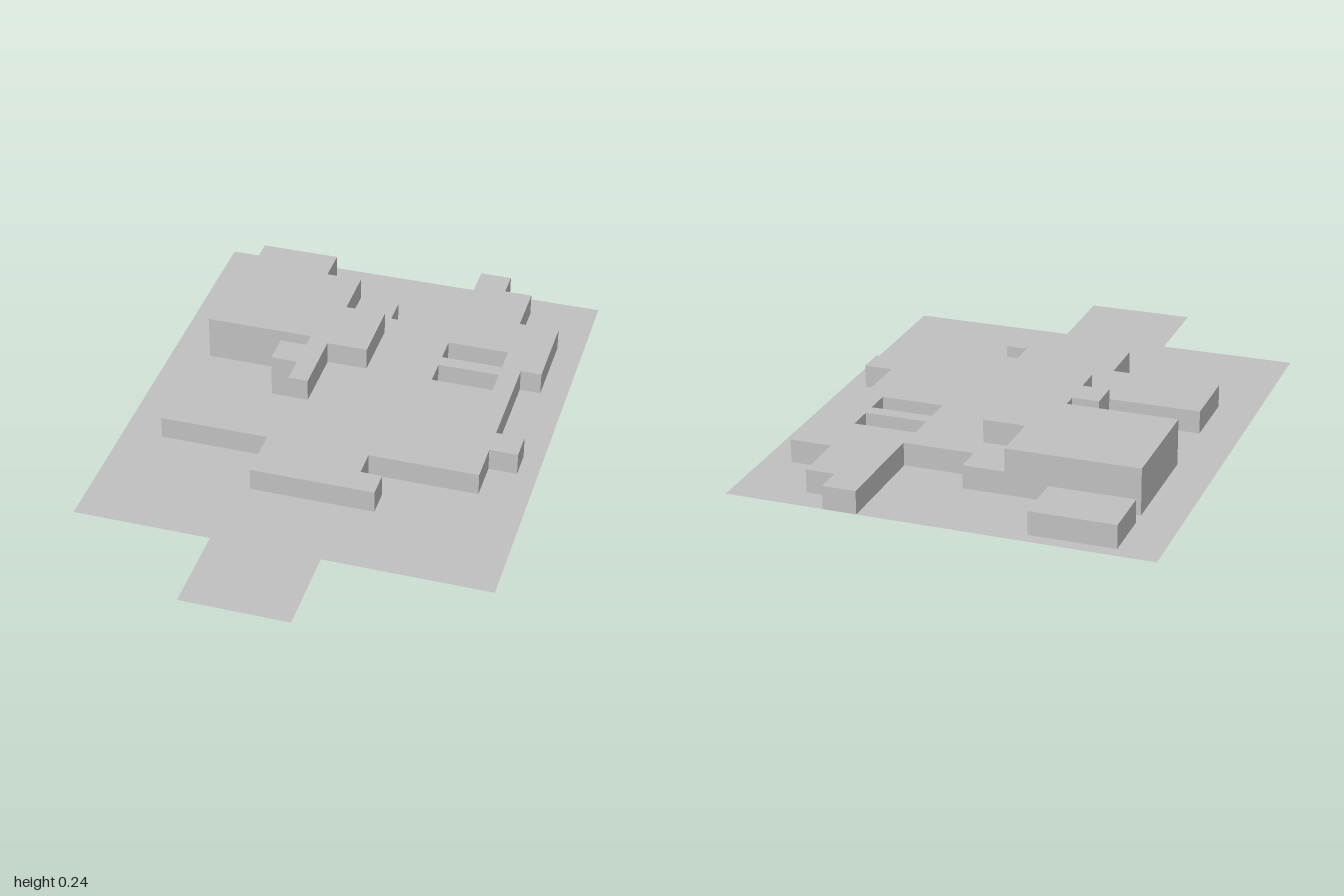
import * as THREE from 'three';

const GROUND = 0.076, LOW = 0.157, HIGH = 0.238;

// Plan outlines are flat lists of x, z pairs
const toPoints = (plan) => {
  const points = [];
  for (let i = 0; i < plan.length; i += 2) points.push(new THREE.Vector2(plan[i], -plan[i + 1]));
  return points;
};
const rectangle = (x0, x1, z0, z1) => [x0, z0, x1, z0, x1, z1, x0, z1];

export function createModel() {
  const group = new THREE.Group();
  const grey = new THREE.MeshStandardMaterial({ color: 0xc0c0c0, side: THREE.DoubleSide });
  grey.name = 'plain grey';

  const add = (name, geometry, y) => {
    geometry.rotateX(-Math.PI / 2);
    geometry.translate(0, y, 0);
    const mesh = new THREE.Mesh(geometry, grey);
    mesh.name = name;
    group.add(mesh);
  };
  const block = (name, plan, bottom, top, holes = []) => {
    const shape = new THREE.Shape(toPoints(plan));
    for (const hole of holes) shape.holes.push(new THREE.Path(toPoints(hole)));
    add(name, new THREE.ExtrudeGeometry(shape, { depth: top - bottom, bevelEnabled: false }), bottom);
  };

  // Flat site sheet with its front access strip
  const site = [-0.72, -1, 0.72, -1, 0.72, 0.68, 0.14, 0.68, 0.14, 1, -0.24, 1, -0.24, 0.68, -0.72, 0.68];
  add('siteSheet', new THREE.ShapeGeometry(new THREE.Shape(toPoints(site))), GROUND);

  // Storey below the sheet
  block('basement', [
    0.02, -0.42, 0.48, -0.42, 0.48, -0.71, 0.625, -0.71,
    0.625, -0.42, 0.55, -0.42, 0.55, 0.205, 0.02, 0.205,
  ], 0, GROUND);

  // Main storey with two open light wells
  block('mainStorey', [
    0.265, -1, 0.38, -1, 0.38, -0.905, 0.48, -0.905, 0.48, -0.71, 0.625, -0.71,
    0.625, -0.42, 0.55, -0.42, 0.55, -0.04, 0.65, -0.04, 0.65, 0.06, 0.55, 0.06,
    0.55, 0.205, 0.165, 0.205, 0.165, 0.3, 0.24, 0.3, 0.24, 0.395, -0.195, 0.395,
    -0.195, 0.205, -0.58, 0.205, -0.58, -0.04, -0.195, -0.04, -0.195, -0.14, -0.29, -0.14,
    -0.29, -0.25, -0.195, -0.25, -0.195, -0.305, -0.58, -0.305, -0.58, -0.71, 0.02, -0.71,
    0.02, -0.61, 0.265, -0.61,
  ], GROUND, LOW, [rectangle(0.26, 0.48, -0.52, -0.425), rectangle(0.26, 0.48, -0.375, -0.28)]);

  // Upper storey
  block('upperStorey', [
    -0.58, -0.71, -0.125, -0.71, -0.125, -0.52, 0.02, -0.52, 0.02, -0.28, -0.125, -0.28,
    -0.125, -0.04, -0.195, -0.04, -0.195, -0.14, -0.29, -0.14, -0.29, -0.25, -0.195, -0.25,
    -0.195, -0.305, -0.58, -0.305,
  ], LOW, HIGH);

  // Detached block at the back
  block('outbuilding', rectangle(-0.58, -0.29, -0.955, -0.765), GROUND, LOW);

  return group;
}
